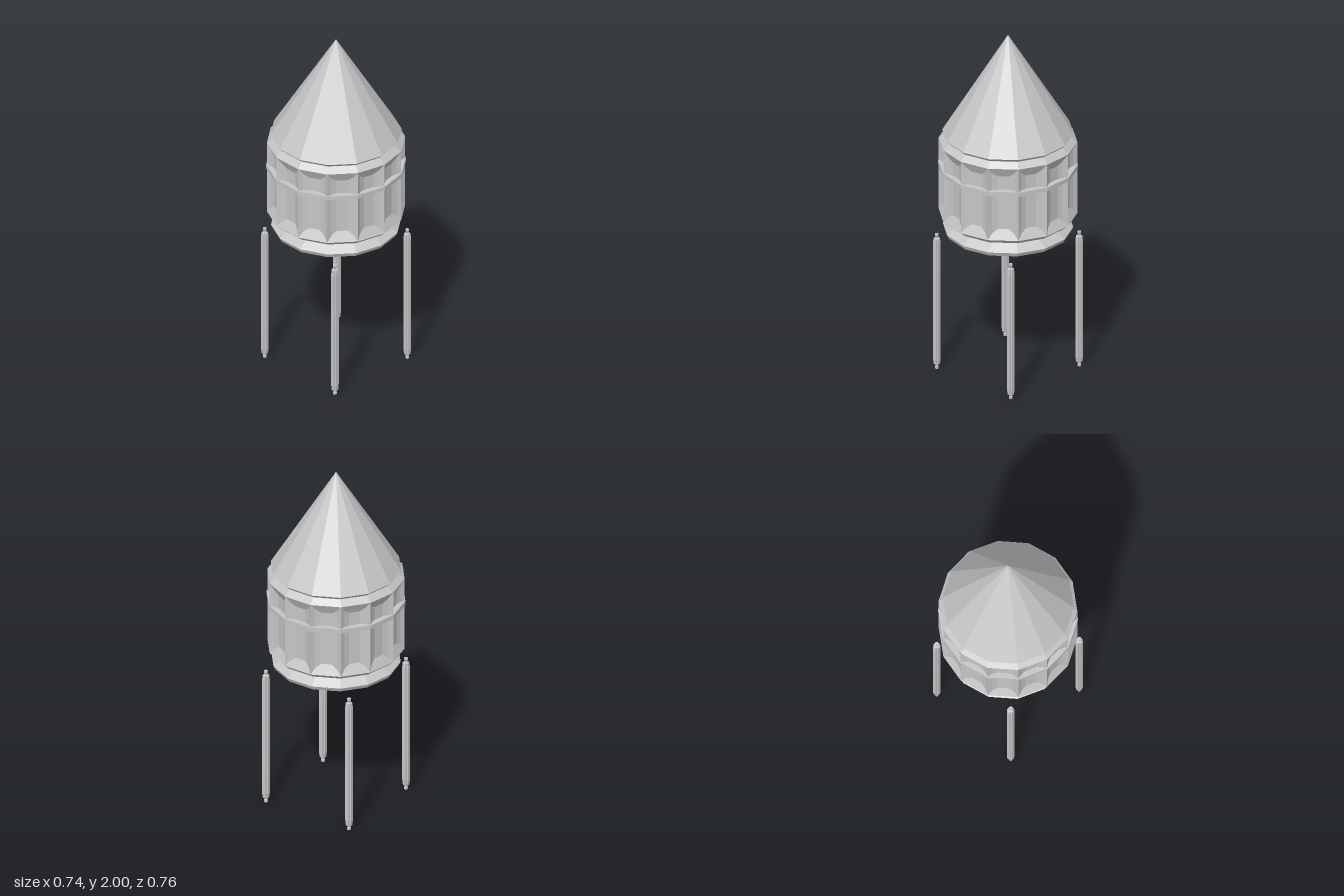
import * as THREE from 'three';

const SIDES = 14;
const metal = new THREE.MeshStandardMaterial({ color: 0xc6c6c6, flatShading: true });
metal.name = 'grey metal';

function add(group, name, geometry) {
  const mesh = new THREE.Mesh(geometry, metal);
  mesh.name = name;
  group.add(mesh);
  return mesh;
}

// Faceted turned part from [radius, y] points, listed from the bottom up
function turned(points) {
  return new THREE.LatheGeometry(points.map(([r, y]) => new THREE.Vector2(r, y)), SIDES);
}

// Triangles between stacked rows of points
function skin(rows, closed) {
  const n = rows[0].length;
  const index = [];
  for (let j = 0; j < rows.length - 1; j++) {
    for (let i = 0; i < (closed ? n : n - 1); i++) {
      const a = j * n + i, b = j * n + (i + 1) % n;
      index.push(a, b, b + n, a, b + n, a + n);
    }
  }
  const geometry = new THREE.BufferGeometry();
  geometry.setAttribute('position', new THREE.Float32BufferAttribute(rows.flat(2), 3));
  geometry.setIndex(index);
  geometry.computeVertexNormals();
  return geometry;
}

// One shallow concave panel with long sloping ends, between two neighbouring ribs
function flute(radius, bottom, top) {
  const half = radius * Math.sin(Math.PI / SIDES);
  const face = radius * Math.cos(Math.PI / SIDES);
  const section = [[-1, 0], [-0.72, 0.016], [-0.36, 0.027], [0.36, 0.027], [0.72, 0.016], [1, 0]];
  const row = (y, sunk, slope) =>
    section.map(([u, d]) => [u * half, y + slope * d, face - sunk * d]);
  return skin([row(bottom, 0, 0), row(bottom, 1, 2.1), row(top, 1, -2.1), row(top, 0, 0)], false);
}

// Cross-shaped rod with a stepped knob at each end
function rod(height) {
  const quarter = [[0.019, -0.01], [0.019, 0.01], [0.0105, 0.0105]];
  const outline = [];
  for (let q = 0; q < 4; q++) {
    const c = Math.round(Math.cos(q * Math.PI / 2)), s = Math.round(Math.sin(q * Math.PI / 2));
    for (const [x, z] of quarter) outline.push([x * c - z * s, x * s + z * c]);
  }
  const end = [[0, 0], [0, 0.5], [0.012, 0.5], [0.017, 0.32], [0.025, 0.32], [0.028, 0.85], [0.06, 1]];
  const levels = [...end, ...end.map(([y, s]) => [height - y, s]).reverse()];
  const rows = levels.map(([y, s]) => outline.map(([a, b]) => [b * s, y, a * s]));
  return skin(rows, true);
}

export function createModel() {
  const model = new THREE.Group();
  model.name = 'tower';

  // Flared foot under the body
  add(model, 'foot', turned([[0, 0.832], [0.342, 0.832], [0.353, 0.855], [0.3, 0.895], [0.27, 0.913]]));

  // Chamfered ends of the body
  add(model, 'bodyBottom', turned([[0, 0.912], [0.343, 0.912], [0.375, 0.94]]));
  add(model, 'bodyTop', turned([[0.375, 1.37], [0.342, 1.4], [0, 1.4]]));

  // Fluted wall
  const wall = new THREE.Group();
  wall.name = 'flutedWall';
  model.add(wall);
  const panel = flute(0.375, 0.94, 1.37);
  for (let i = 0; i < SIDES; i++) {
    add(wall, 'flutedPanel', panel).rotation.y = (i + 0.5) * 2 * Math.PI / SIDES;
  }

  // Band around the wall
  add(model, 'band', turned([[0.33, 1.21], [0.379, 1.21], [0.379, 1.234], [0.33, 1.234]]));

  // Pointed roof with a thin lip
  add(model, 'roof', turned([[0, 1.4], [0.338, 1.4], [0.356, 1.418], [0, 2]]));

  // Four separate legs, closed by small caps at both ends
  const leg = rod(0.81);
  const cap = new THREE.BoxGeometry(0.014, 0.004, 0.014);
  for (const x of [-0.272, 0.272]) {
    for (const z of [-0.272, 0.272]) {
      add(model, 'leg', leg).position.set(x, 0, z);
      for (const y of [0.002, 0.808]) add(model, 'legCap', cap).position.set(x, y, z);
    }
  }
  return model;
}
